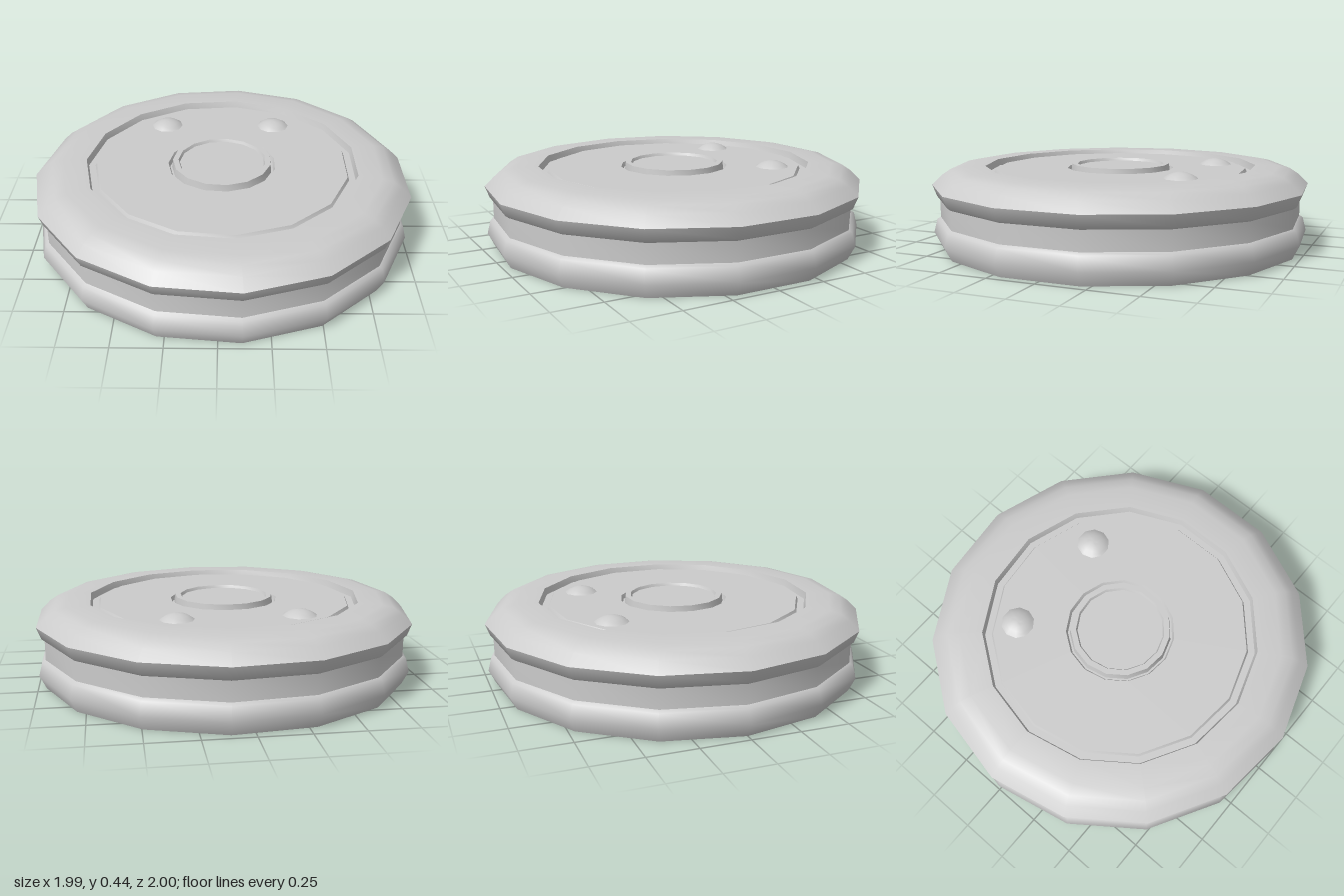
import * as THREE from 'three';
import { toCreasedNormals } from 'three/addons/utils/BufferGeometryUtils.js';

const SIDES = 15;
const material = new THREE.MeshStandardMaterial({ color: 0xcccccc });

// Turned part from [radius, height] points, with one corner pointing to -x
function turned(name, profile, sides = SIDES, crease = 0.9) {
  const points = profile.map(([r, y]) => new THREE.Vector2(r, y));
  const lathe = new THREE.LatheGeometry(points, sides, -Math.PI / 2);
  const mesh = new THREE.Mesh(toCreasedNormals(lathe, crease), material);
  mesh.name = name;
  return mesh;
}

export function createModel() {
  const model = new THREE.Group();
  model.name = 'robotVacuum';

  // Lower housing with its flat underside
  const base = turned('base', [
    [0, 0], [0.968, 0], [1.003, 0.07], [0.985, 0.14], [0.966, 0.152],
  ]);

  // Recessed band between the two housings
  const band = turned('sideBand', [[0.966, 0.152], [0.966, 0.252]]);

  // Upper bumper, rounded over to the edge of the lid recess
  const bumper = turned('bumper', [
    [0.966, 0.252], [0.982, 0.264], [1.0055, 0.325], [0.955, 0.375],
    [0.91, 0.405], [0.85, 0.418], [0.725, 0.42], [0.715, 0.385], [0.68, 0.385],
  ]);

  // Lid inside its groove, with a round well for the button
  const lid = turned('lid', [
    [0.68, 0.385], [0.671, 0.402], [0.287, 0.402], [0.278, 0.38], [0.268, 0.38],
  ]);

  // Raised button rim with a sunken centre
  const button = turned('button', [
    [0.268, 0.38], [0.262, 0.425], [0.233, 0.425], [0.226, 0.41], [0, 0.41],
  ]);

  model.add(base, band, bumper, lid, button);

  // Two shallow domes at the back of the lid
  const domeRadius = 0.133, domeCentre = 0.302;
  const domeProfile = [0.76, 0.6, 0.45, 0.3, 0.15, 0].map((a) => [
    domeRadius * Math.sin(a), domeCentre + domeRadius * Math.cos(a),
  ]);
  for (const side of [-1, 1]) {
    const dome = turned(side > 0 ? 'leftDome' : 'rightDome', domeProfile, 10, 1.2);
    dome.position.set(side * 0.305 - 0.015, 0, -0.44);
    model.add(dome);
  }

  // Centre the odd-sided outline on x
  for (const part of model.children) part.position.x += 0.011;
  return model;
}
